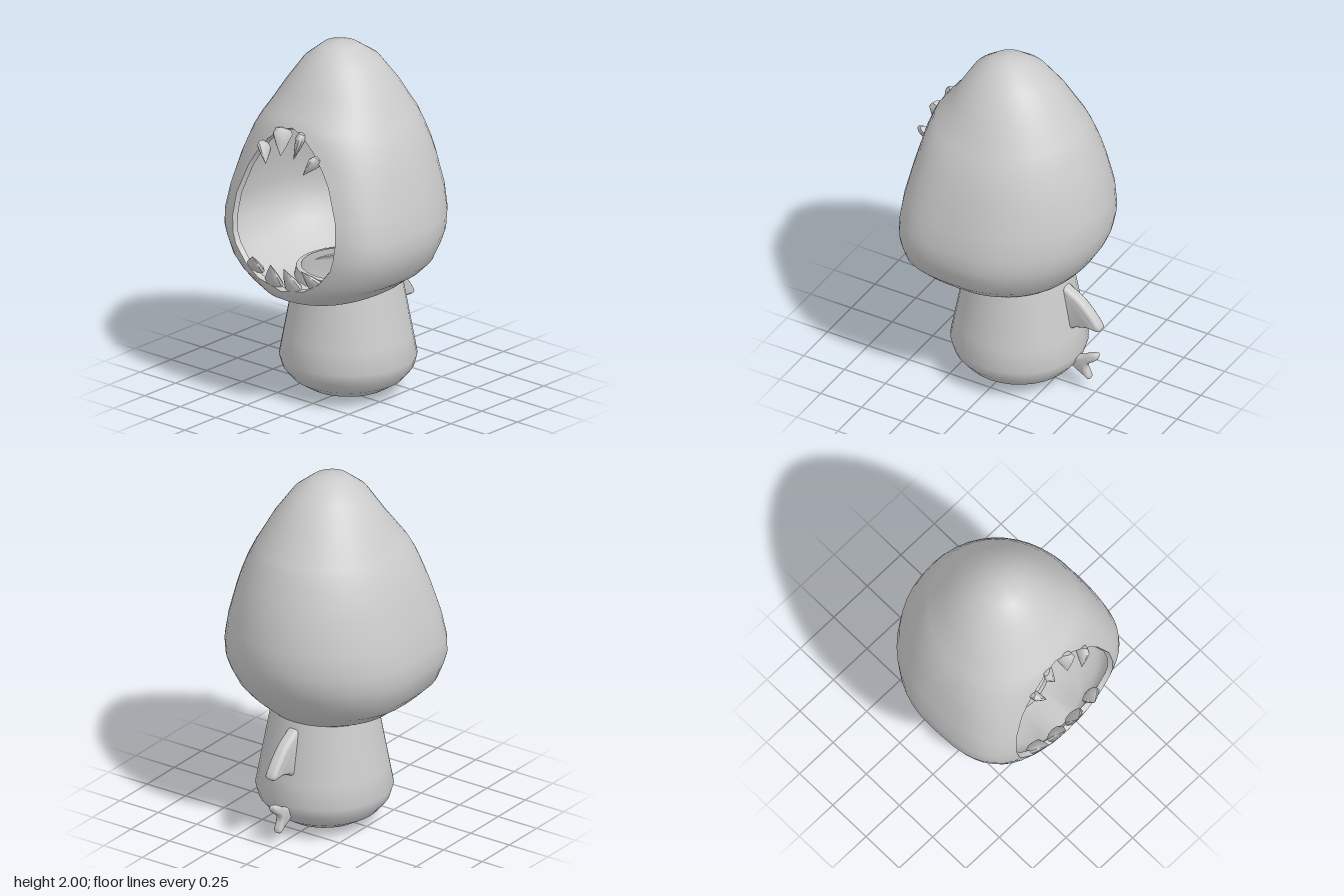
import * as THREE from 'three';
import { mergeVertices, toCreasedNormals } from 'three/addons/utils/BufferGeometryUtils.js';

const grey = new THREE.MeshStandardMaterial({ color: 0xcccccc, side: THREE.DoubleSide });

function part(name, geometry, parent) {
  const mesh = new THREE.Mesh(geometry, grey);
  mesh.name = name;
  parent.add(mesh);
  return mesh;
}

// Hood rows from crown to neck: y, half width, back z, front z, front roundness, mouth half width, tilt
const HOOD_ROWS = [
  [2.0, 0, 0.03, 0.03, 2, 0, 0],
  [1.98, 0.1, -0.07, 0.13, 2, 0, 0],
  [1.9, 0.2, -0.19, 0.23, 2, 0, 0],
  [1.76, 0.3, -0.3, 0.315, 2.1, 0, 0],
  [1.66, 0.355, -0.365, 0.39, 2.2, 0, 0],
  [1.615, 0.38, -0.395, 0.42, 2.3, 0, 0],
  [1.59, 0.395, -0.41, 0.43, 2.4, 0.075, 0],
  [1.52, 0.43, -0.44, 0.45, 2.6, 0.16, 0],
  [1.43, 0.465, -0.475, 0.465, 2.8, 0.23, 0],
  [1.35, 0.49, -0.5, 0.48, 3, 0.28, 0],
  [1.18, 0.535, -0.54, 0.51, 3.3, 0.345, 0],
  [1.05, 0.56, -0.545, 0.52, 3.5, 0.36, 0],
  [0.96, 0.562, -0.525, 0.525, 3.5, 0.35, 0],
  [0.9, 0.545, -0.5, 0.525, 3.4, 0.33, 0],
  [0.81, 0.51, -0.445, 0.52, 3.2, 0.255, 0],
  [0.75, 0.45, -0.395, 0.515, 3, 0.16, 0],
  [0.715, 0.395, -0.36, 0.51, 2.8, 0, 0],
  [0.67, 0.34, -0.325, 0.47, 2.4, 0, 0.04],
  [0.64, 0.275, -0.3, 0.235, 2, 0, 0.06],
];

// Egg-shaped shell: each row wraps from one mouth edge round the back to the other
function hoodGeometry() {
  const COLS = 40, THICK = 0.03, pos = [], idx = [];
  for (const [y, w, back, front, n, mouth, tilt] of HOOD_ROWS) {
    const start = mouth ? Math.asin(Math.pow(mouth / w, n / 2)) : 0;
    const mid = w ? 0.02 : 0.03;
    for (let j = 0; j <= COLS; j++) {
      const t = start + (2 * Math.PI - 2 * start) * j / COLS;
      const s = Math.sin(t), c = Math.cos(t);
      const p = c > 0 ? 2 / n : 1;
      const x = Math.abs(s) < 1e-9 ? 0 : Math.sign(s) * w * Math.pow(Math.abs(s), p);
      const z = mid + (c > 0 ? (front - mid) * Math.pow(c, p) : (mid - back) * c);
      pos.push(x, y - tilt * z, z);
    }
  }
  for (let i = 0; i < HOOD_ROWS.length - 1; i++) {
    for (let j = 0; j < COLS; j++) {
      const a = i * (COLS + 1) + j, b = a + COLS + 1;
      idx.push(a, b, b + 1, a, b + 1, a + 1);
    }
  }
  let g = new THREE.BufferGeometry();
  g.setAttribute('position', new THREE.Float32BufferAttribute(pos, 3));
  g.setIndex(idx);
  g = mergeVertices(g, 1e-5);
  g.computeVertexNormals();

  // Inner wall, pushed inward along the normals
  const P = g.attributes.position, N = g.attributes.normal, count = P.count;
  const verts = Array.from(P.array), tris = [], edges = new Map();
  for (let i = 0; i < count; i++) {
    verts.push(P.getX(i) - THICK * N.getX(i), P.getY(i) - THICK * N.getY(i), P.getZ(i) - THICK * N.getZ(i));
  }
  const src = g.index.array;
  for (let i = 0; i < src.length; i += 3) {
    const t = [src[i], src[i + 1], src[i + 2]];
    if (t[0] === t[1] || t[1] === t[2] || t[0] === t[2]) continue;
    tris.push(...t, t[0] + count, t[2] + count, t[1] + count);
    t.forEach((a, k) => edges.set(a + '_' + t[(k + 1) % 3], [a, t[(k + 1) % 3]]));
  }
  // Lip joining both walls along the mouth and neck openings
  for (const [a, b] of edges.values()) {
    if (!edges.has(b + '_' + a)) tris.push(b, a, a + count, b, a + count, b + count);
  }
  const shell = new THREE.BufferGeometry();
  shell.setAttribute('position', new THREE.Float32BufferAttribute(verts, 3));
  shell.setIndex(tris);
  return toCreasedNormals(shell, 0.9);
}

// Rounded fin from a side outline of [distance behind centre, height]
function finGeometry(outline, core, bevel) {
  const curve = new THREE.CatmullRomCurve3(outline.map(([d, y]) => new THREE.Vector3(d, y, 0)), true, 'catmullrom', 0.4);
  const shape = new THREE.Shape(curve.getPoints(28).slice(0, -1).map(p => new THREE.Vector2(p.x, p.y)));
  const g = new THREE.ExtrudeGeometry(shape, {
    depth: core, bevelEnabled: true, bevelThickness: bevel, bevelSize: bevel * 0.8,
    bevelOffset: -bevel * 0.8, bevelSegments: 3,
  });
  g.translate(0, 0, -core / 2);
  g.rotateY(Math.PI / 2);
  return toCreasedNormals(g, 1.0);
}

export function createModel() {
  const model = new THREE.Group();
  model.name = 'hoodedFigure';

  part('hood', hoodGeometry(), model);

  // Hollow cup-shaped body
  const profile = [
    [0, 0.005], [0.12, 0.015], [0.22, 0.045], [0.3, 0.095], [0.35, 0.155], [0.368, 0.215],
    [0.345, 0.34], [0.29, 0.64], [0.277, 0.71], [0.25, 0.715], [0.26, 0.64], [0.33, 0.22], [0.28, 0.12], [0, 0.05],
  ].map(([r, y]) => new THREE.Vector2(r, y));
  const body = part('body', toCreasedNormals(new THREE.LatheGeometry(profile, 32), 0.9), model);
  body.position.z = -0.033;

  // Back fin and forked tail
  part('backFin', finGeometry([
    [0.3, 0.63], [0.36, 0.615], [0.43, 0.57], [0.5, 0.495], [0.54, 0.435], [0.525, 0.412],
    [0.46, 0.415], [0.4, 0.4], [0.32, 0.38],
  ], 0.02, 0.025), model);
  part('tailFin', finGeometry([
    [0.36, 0.19], [0.42, 0.215], [0.47, 0.245], [0.515, 0.253], [0.51, 0.215], [0.45, 0.165],
    [0.475, 0.095], [0.46, 0.078], [0.425, 0.1], [0.36, 0.14],
  ], 0.012, 0.018), model);

  // Pointed teeth, mirrored: base centre, tip, base radius
  const teeth = new THREE.Group();
  teeth.name = 'teeth';
  model.add(teeth);
  const up = new THREE.Vector3(0, 1, 0);
  const TEETH = [
    ['upperInnerTooth', [0.065, 1.585, 0.42], [0.045, 1.455, 0.462], 0.055],
    ['upperOuterTooth', [0.185, 1.48, 0.435], [0.13, 1.395, 0.485], 0.052],
    ['lowerInnerTooth', [0.07, 0.735, 0.48], [0.045, 0.865, 0.543], 0.06],
    ['lowerOuterTooth', [0.215, 0.78, 0.465], [0.17, 0.88, 0.543], 0.058],
  ];
  for (const [name, base, tip, radius] of TEETH) {
    for (const side of [1, -1]) {
      const a = new THREE.Vector3(side * base[0], base[1], base[2]);
      const b = new THREE.Vector3(side * tip[0], tip[1], tip[2]);
      const length = a.distanceTo(b);
      const cone = new THREE.LatheGeometry([
        [0, -0.02], [radius * 0.7, -0.015], [radius, 0.015], [radius * 0.62, length * 0.5], [0, length],
      ].map(([r, y]) => new THREE.Vector2(r, y)), 10);
      cone.scale(1, 1, 0.5);
      const tooth = part((side > 0 ? 'left ' : 'right ') + name, toCreasedNormals(cone, 0.9), teeth);
      tooth.position.copy(a);
      tooth.quaternion.setFromUnitVectors(up, b.sub(a).normalize());
    }
  }
  return model;
}
